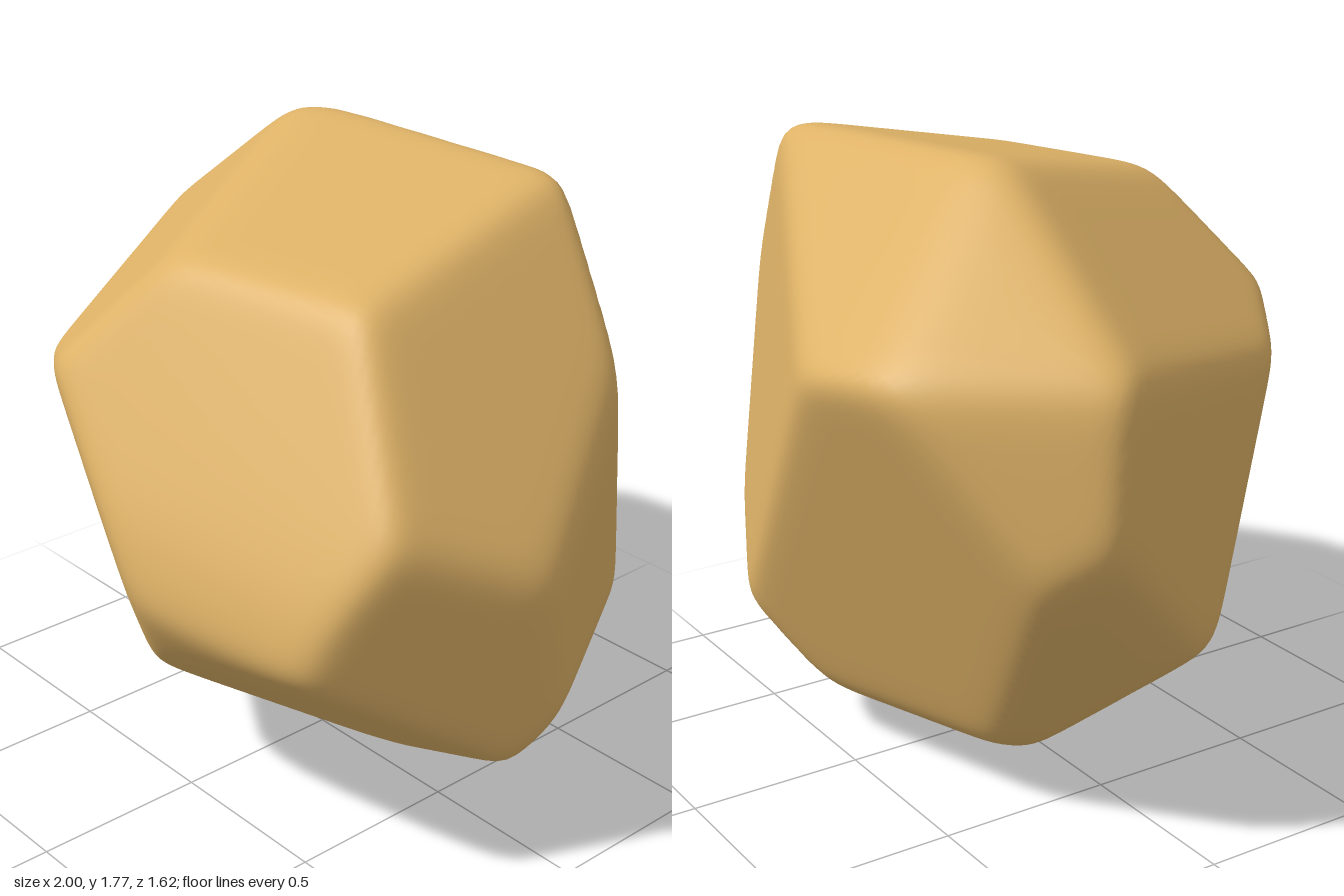
import * as THREE from 'three';
import { mergeVertices } from 'three/addons/utils/BufferGeometryUtils.js';

// Facet planes of the boulder: normal x, y, z and offset (normal . point = offset)
const FACETS = [
  [0.23, 0.52, 1, 1.34],           // front upper
  [0.2, 0.12, 1, 0.955],           // front middle
  [0.06, 1, 0.2, 1.69],            // top
  [0.83, 0.55, 0, 1.35],           // upper +x
  [0.19, 0.06, -0.46, 0.382],      // back, +x half
  [0.36, 0, -0.183, 0.339],        // +x side
  [0.138, -0.029, 0.058, 0.121],   // +x side, towards front
  [0.2, -1, 1.5, 0.49],            // front underside, upper
  [0.28, -1, 0.75, 0],             // front underside, lower
  [0.125, -0.15, -0.1, 0.045],     // +x underside
  [-0.03, 0.455, -0.427, 0.944],   // back upper
  [-0.207, -0.32, -0.742, 0.268],  // back lower
  [-0.167, 0.24, -0.13, 0.524],    // -x upper back
  [-0.185, 0.015, -0.141, 0.245],  // -x side, towards back
  [-0.393, 0.529, 0.329, 1.01],    // -x upper front
  [-0.48, 0, 0.26, 0.398],         // -x side, towards front
  [-0.55, -0.3, 1, 0.475],         // front, -x half
  [-0.125, -0.297, 0.16, -0.017],  // front underside, -x half
  [-0.8, -0.6, -0.15, 0.292],      // -x underside
  [-0.16, -1, -0.43, 0.003],       // base, tilted to the back
];
const CENTRE = new THREE.Vector3(0, 0.89, 0);
const SHARPNESS = 36; // higher gives tighter edges between facets

// Sphere pushed out to a soft intersection of the facet planes
function boulderGeometry() {
  const ball = new THREE.IcosahedronGeometry(1, 44);
  ball.deleteAttribute('uv');
  ball.deleteAttribute('normal');
  const geo = mergeVertices(ball, 1e-5);
  const planes = FACETS.map(([x, y, z, h]) => {
    const n = new THREE.Vector3(x, y, z);
    return n.divideScalar(h - n.dot(CENTRE));
  });
  const pos = geo.attributes.position;
  const v = new THREE.Vector3();
  for (let i = 0; i < pos.count; i++) {
    v.fromBufferAttribute(pos, i).normalize();
    let sum = 0;
    for (const n of planes) sum += Math.max(0, n.dot(v)) ** SHARPNESS;
    // Halving the sum keeps the edges where two planes meet
    v.multiplyScalar((sum / 2) ** (-1 / SHARPNESS)).add(CENTRE);
    pos.setXYZ(i, v.x, v.y, v.z);
  }
  // Stand it on the ground, centred
  geo.computeBoundingBox();
  const mid = geo.boundingBox.getCenter(new THREE.Vector3());
  geo.translate(-mid.x, -geo.boundingBox.min.y, -mid.z);
  geo.computeVertexNormals();
  return geo;
}

export function createModel() {
  const model = new THREE.Group();
  model.name = 'boulder';
  const stone = new THREE.MeshStandardMaterial({ color: 0xdeb267 });
  stone.name = 'sandstone';
  const rock = new THREE.Mesh(boulderGeometry(), stone);
  rock.name = 'rock';
  model.add(rock);
  return model;
}
